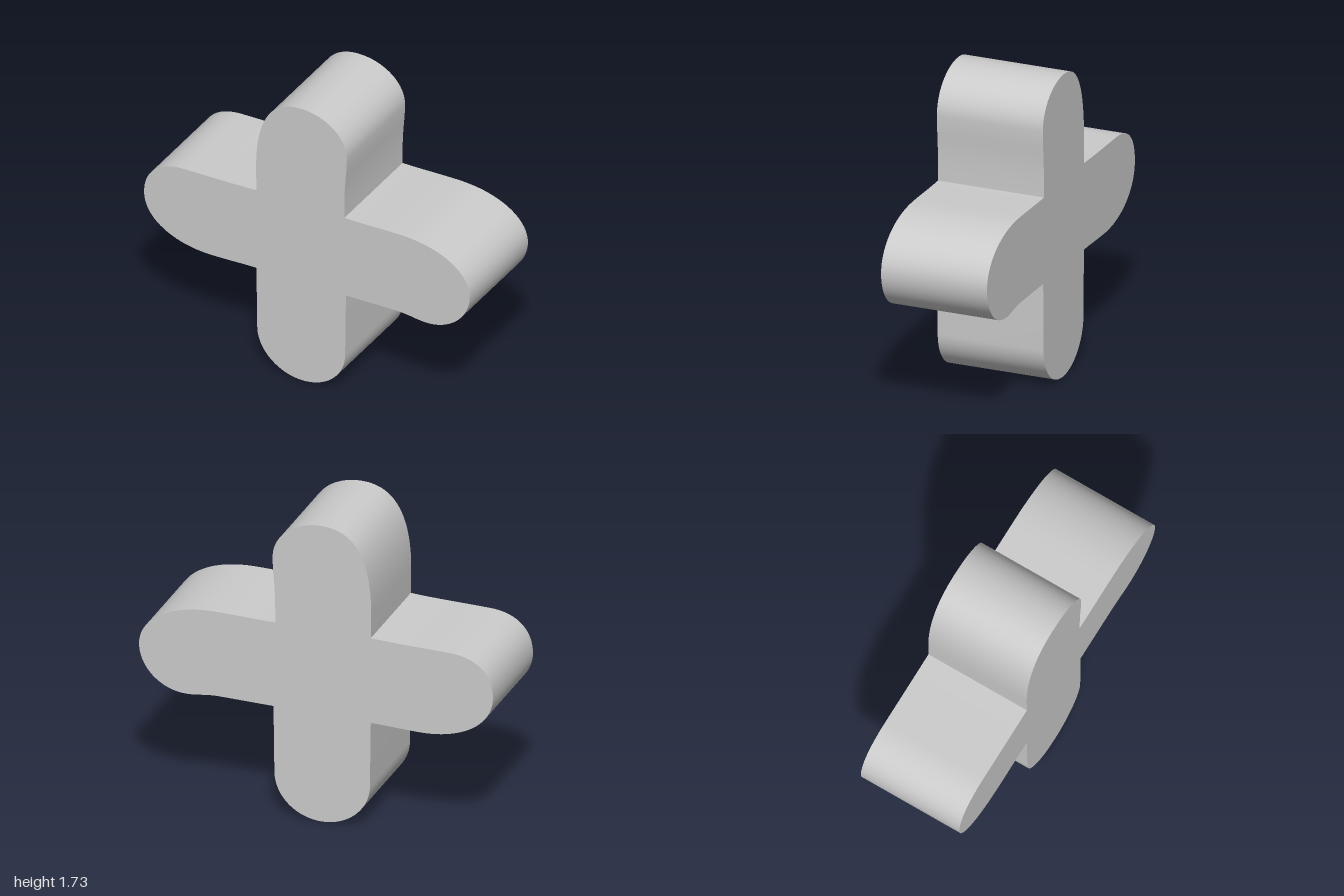
import * as THREE from 'three';
import { toCreasedNormals } from 'three/addons/utils/BufferGeometryUtils.js';

const DEPTH = 0.61;

// Outline of the hand-drawn cross, counter-clockwise from the lower left inner corner
function crossOutline() {
  const s = new THREE.Shape();
  s.moveTo(-0.31, 0.62);
  // Lower arm
  s.lineTo(-0.305, 0.25);
  s.bezierCurveTo(-0.305, 0.11, -0.18, 0, -0.035, 0);
  s.bezierCurveTo(0.115, 0, 0.235, 0.11, 0.235, 0.25);
  s.lineTo(0.24, 0.63);
  // Left arm (+x)
  s.lineTo(0.53, 0.637);
  s.bezierCurveTo(0.63, 0.64, 0.66, 0.623, 0.73, 0.623);
  s.bezierCurveTo(0.88, 0.623, 1, 0.74, 1, 0.875);
  s.bezierCurveTo(1, 1.02, 0.83, 1.128, 0.58, 1.128);
  s.bezierCurveTo(0.46, 1.128, 0.36, 1.12, 0.23, 1.12);
  // Upper arm
  s.bezierCurveTo(0.228, 1.36, 0.245, 1.38, 0.245, 1.5);
  s.bezierCurveTo(0.245, 1.63, 0.12, 1.725, -0.03, 1.725);
  s.bezierCurveTo(-0.2, 1.725, -0.31, 1.6, -0.312, 1.27);
  s.lineTo(-0.31, 1.115);
  // Right arm (-x)
  s.bezierCurveTo(-0.45, 1.105, -0.6, 1.105, -0.74, 1.1);
  s.bezierCurveTo(-0.92, 1.1, -1, 1, -1, 0.875);
  s.bezierCurveTo(-1, 0.71, -0.82, 0.61, -0.605, 0.61);
  s.bezierCurveTo(-0.5, 0.61, -0.4, 0.62, -0.31, 0.62);
  return s;
}

export function createModel() {
  const group = new THREE.Group();
  group.name = 'roundedCross';

  // Flat faces front and back, smooth walls, sharp rims and inner corners
  const geometry = new THREE.ExtrudeGeometry(crossOutline(), {
    depth: DEPTH, bevelEnabled: false, curveSegments: 24,
  });
  geometry.translate(0, 0, -DEPTH / 2);

  const cross = new THREE.Mesh(
    toCreasedNormals(geometry, 0.6),
    new THREE.MeshStandardMaterial({ color: 0xcccccc }),
  );
  cross.name = 'crossBody';
  group.add(cross);
  return group;
}
